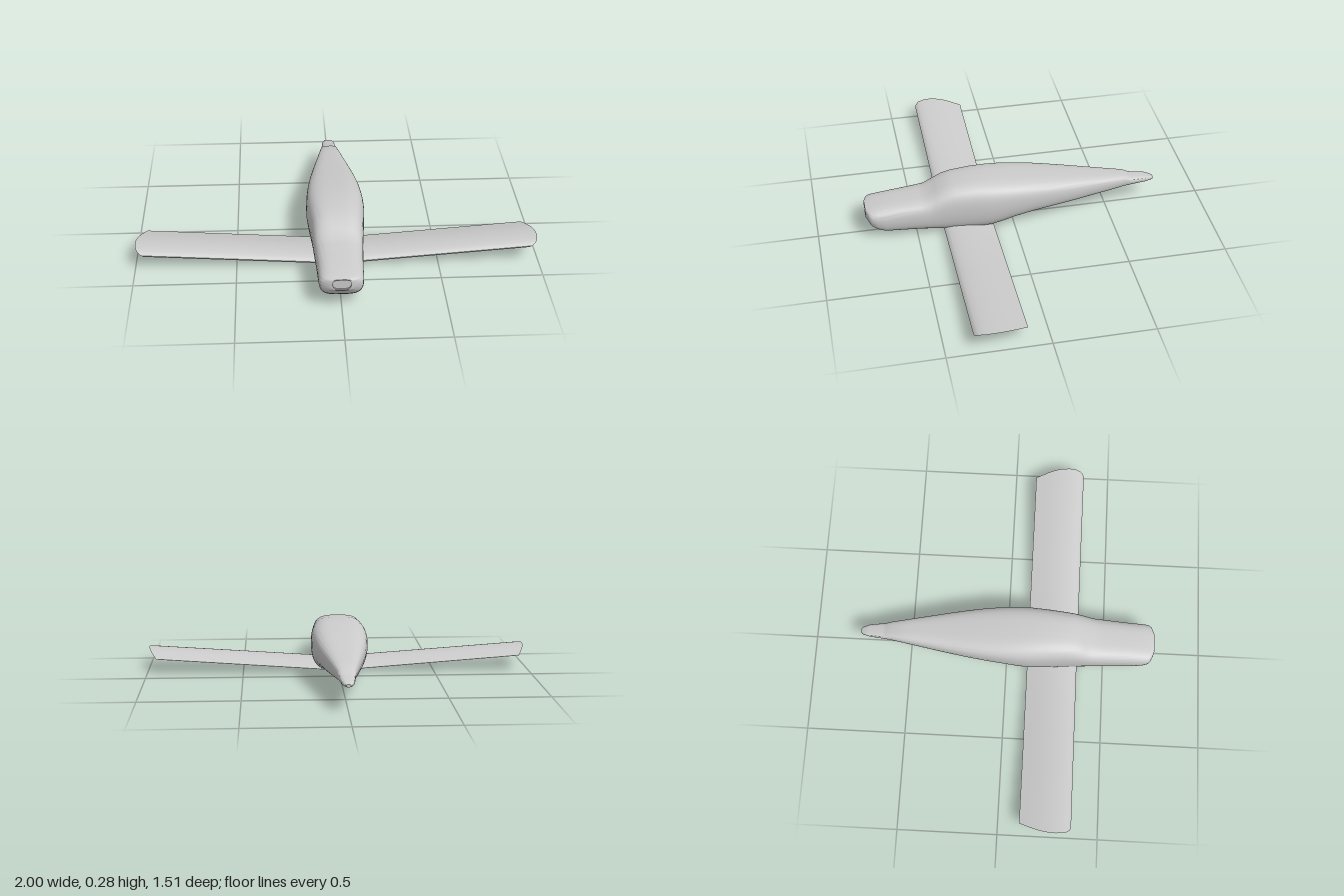
import * as THREE from 'three';
import { toCreasedNormals } from 'three/addons/utils/BufferGeometryUtils.js';

const material = new THREE.MeshStandardMaterial({ color: 0xcccccc });

// Skin a list of closed rings (right-handed about the loft direction) and cap both ends.
function loft(rings, crease) {
  const n = rings[0].length;
  const points = rings.flat();
  const index = [];
  for (let i = 0; i < rings.length - 1; i++) {
    for (let j = 0; j < n; j++) {
      const a = i * n + j, b = i * n + (j + 1) % n;
      index.push(a, b, a + n, b, b + n, a + n);
    }
  }
  const cap = (ring, start, flip) => {
    const centre = ring.reduce((s, p) => s.add(p), new THREE.Vector3()).divideScalar(n);
    const c = points.push(centre) - 1;
    for (let j = 0; j < n; j++) {
      const a = start + j, b = start + (j + 1) % n;
      index.push(c, flip ? b : a, flip ? a : b);
    }
  };
  cap(rings[0], 0, true);
  cap(rings.at(-1), (rings.length - 1) * n, false);
  const geometry = new THREE.BufferGeometry().setFromPoints(points);
  geometry.setIndex(index);
  return toCreasedNormals(geometry, crease);
}

// Fuselage stations from tail to nose: z, top, bottom, half width
const stations = [
  [-0.755, 0.135, 0.121, 0.010], [-0.745, 0.140, 0.120, 0.020], [-0.71, 0.151, 0.118, 0.032],
  [-0.64, 0.158, 0.114, 0.040], [-0.625, 0.163, 0.113, 0.042], [-0.60, 0.176, 0.111, 0.046],
  [-0.50, 0.191, 0.100, 0.065], [-0.40, 0.206, 0.090, 0.084], [-0.30, 0.221, 0.080, 0.103],
  [-0.20, 0.236, 0.071, 0.120], [-0.10, 0.251, 0.060, 0.134], [0.00, 0.263, 0.041, 0.143],
  [0.06, 0.269, 0.022, 0.146], [0.12, 0.273, 0.006, 0.146], [0.20, 0.275, 0.000, 0.140],
  [0.30, 0.269, 0.003, 0.131], [0.35, 0.257, 0.007, 0.127], [0.40, 0.231, 0.013, 0.123],
  [0.44, 0.208, 0.019, 0.120], [0.48, 0.202, 0.024, 0.118], [0.60, 0.191, 0.030, 0.111],
  [0.66, 0.185, 0.034, 0.109], [0.70, 0.179, 0.052, 0.107], [0.725, 0.175, 0.072, 0.102],
  [0.738, 0.172, 0.088, 0.092], [0.745, 0.170, 0.102, 0.076],
  // raised nose frame and its shallow inlet
  [0.755, 0.168, 0.109, 0.050], [0.755, 0.163, 0.114, 0.044], [0.747, 0.163, 0.114, 0.044],
];

// Rounded-square section, a little narrower towards the belly
function bodyRing([z, top, bottom, halfWidth], segments = 56) {
  const power = 2 / 3.4;
  return Array.from({ length: segments }, (_, j) => {
    const angle = (j / segments) * Math.PI * 2;
    const c = Math.cos(angle), s = Math.sin(angle);
    const u = Math.sign(c) * Math.abs(c) ** power;
    const v = Math.sign(s) * Math.abs(s) ** power;
    const taper = 1 - 0.1 * Math.max(0, -v);
    return new THREE.Vector3(u * halfWidth * taper, (top + bottom) / 2 + v * (top - bottom) / 2, z);
  });
}

// Aerofoil as [z, height]: trailing edge, over the top, leading edge, flat underside
const aerofoil = [
  [0.108, 0.002], [0.14, 0.011], [0.17, 0.019], [0.20, 0.026], [0.23, 0.031], [0.26, 0.034],
  [0.29, 0.035], [0.32, 0.033], [0.345, 0.028], [0.359, 0.020], [0.365, 0.011], [0.362, 0.003],
  [0.350, -0.001], [0.32, -0.002], [0.25, -0.001], [0.17, 0], [0.108, 0],
];

// The wing tips are cut on a slant, so the upper skin reaches further out
function wingRing(span) {
  return aerofoil.map(([z, h]) => {
    const slant = Math.abs(span) * (h / 0.035) * 0.05;
    const x = span * 0.95 + Math.sign(span) * slant;
    return new THREE.Vector3(x, 0.006 + 0.069 * Math.abs(span) + h, z);
  });
}

export function createModel() {
  const model = new THREE.Group();
  model.name = 'aircraft';

  const fuselage = new THREE.Mesh(loft(stations.map((s) => bodyRing(s)), 0.65), material);
  fuselage.name = 'fuselage';

  // One wing through the body, with dihedral on both sides
  const wing = new THREE.Mesh(loft([-1, -0.5, 0, 0.5, 1].map(wingRing), 0.7), material);
  wing.name = 'wing';

  model.add(fuselage, wing);
  return model;
}
